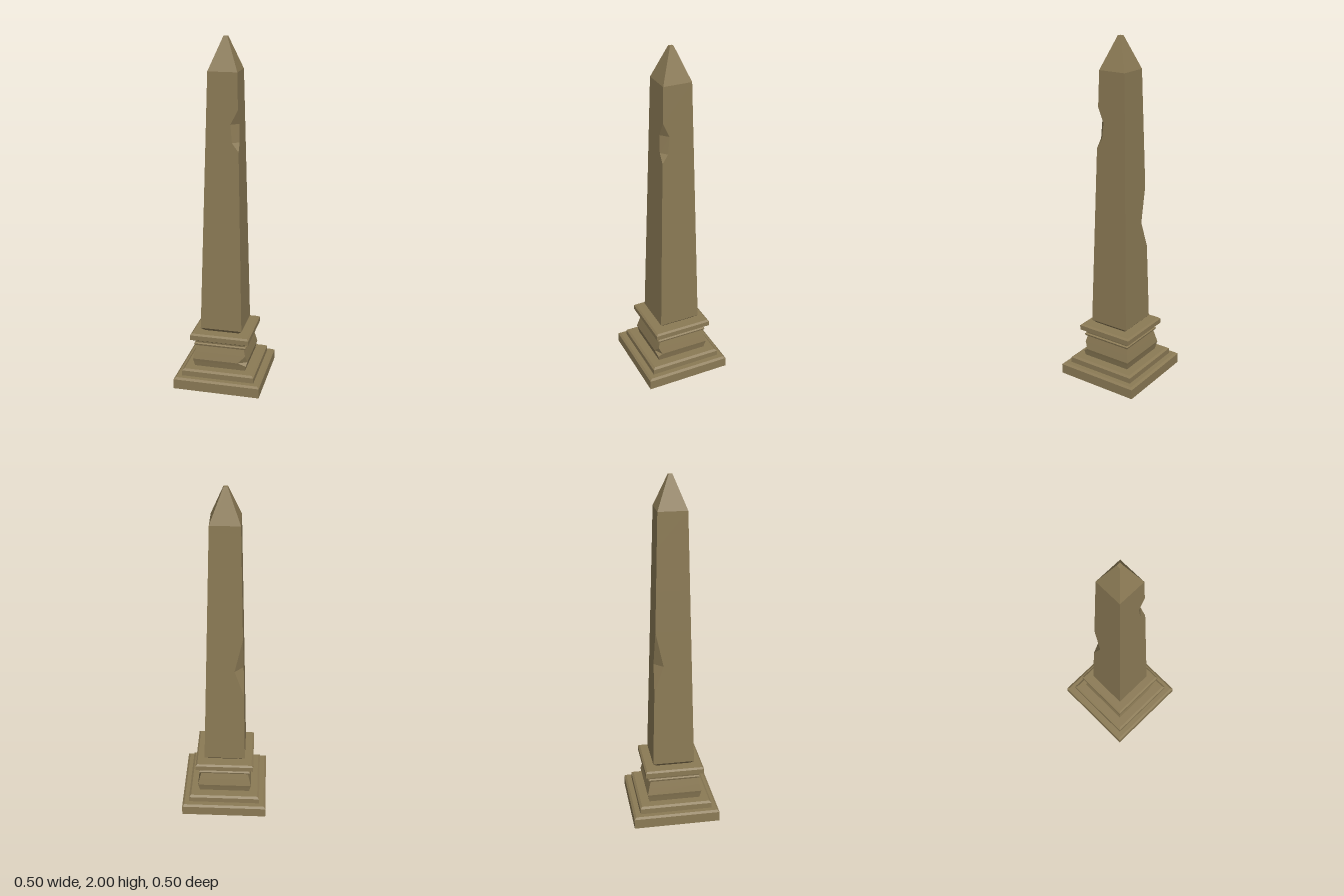
import * as THREE from 'three';

const stone = new THREE.MeshStandardMaterial({ color: 0x8b7a55, flatShading: true, side: THREE.DoubleSide });

// Corners in counter-clockwise order from above: [sign x, sign z, key]
const CORNERS = [[-1, 1, 'frontRight'], [1, 1, 'frontLeft'], [1, -1, 'backLeft'], [-1, -1, 'backRight']];

// Square outline of half width h at height y; chips cut a corner back by [x, z]
function outline([y, h, chips = {}]) {
  const points = [];
  for (const [sx, sz, key] of CORNERS) {
    const [cx, cz] = chips[key] ?? [0, 0];
    const pair = [
      new THREE.Vector3(sx * (h - cx), y, sz * h),
      new THREE.Vector3(sx * h, y, sz * (h - cz)),
    ];
    points.push(...(sx * sz < 0 ? pair.reverse() : pair));
  }
  return points;
}

// Joins outlines from bottom to top, leaving out collapsed triangles
function loft(name, levels, capped = false) {
  const rings = levels.map(outline);
  const positions = [];
  const triangle = (a, b, c) => {
    if (new THREE.Triangle(a, b, c).getArea() < 1e-8) return;
    for (const p of [a, b, c]) positions.push(p.x, p.y, p.z);
  };
  for (let r = 0; r < rings.length - 1; r++) {
    const low = rings[r], high = rings[r + 1];
    for (let i = 0; i < 8; i++) {
      const j = (i + 1) % 8;
      triangle(low[i], low[j], high[j]);
      triangle(low[i], high[j], high[i]);
    }
  }
  if (capped) {
    const top = rings.at(-1);
    for (let i = 1; i < 7; i++) triangle(top[0], top[i], top[i + 1]);
  }
  const geometry = new THREE.BufferGeometry();
  geometry.setAttribute('position', new THREE.Float32BufferAttribute(positions, 3));
  geometry.computeVertexNormals();
  const mesh = new THREE.Mesh(geometry, stone);
  mesh.name = name;
  return mesh;
}

export function createModel() {
  const group = new THREE.Group();
  group.name = 'obelisk';

  // Two stepped slabs, hollow and open underneath
  group.add(loft('plinth', [[0, 0.252], [0.058, 0.252], [0.068, 0.24], [0.068, 0.212]]));
  group.add(loft('step', [[0.068, 0.212], [0.1, 0.212], [0.11, 0.2], [0.11, 0.15]]));

  // Pedestal block with a broken front corner
  group.add(loft('pedestal', [
    [0.11, 0.15],
    [0.14, 0.156],
    [0.157, 0.16, { frontLeft: [0.053, 0.03] }],
    [0.2, 0.15],
    [0.24, 0.14],
  ]));

  // Thin mouldings under the cornice
  group.add(loft('mouldings', [
    [0.24, 0.14], [0.242, 0.15], [0.252, 0.153], [0.258, 0.145], [0.268, 0.147], [0.273, 0.157],
  ]));
  group.add(loft('cornice', [
    [0.273, 0.157], [0.282, 0.172], [0.31, 0.172], [0.319, 0.162], [0.319, 0.1],
  ]));

  // Tapering shaft with two chipped edges
  const half = (y) => 0.121 - ((y - 0.34) / 1.48) * 0.039;
  const level = (y, chips) => [y, half(y), chips];
  group.add(loft('shaft', [
    [0.319, 0.1],
    level(0.34),
    level(0.79),
    level(0.95, { backRight: [0.05, 0.05] }),
    level(1.155),
    level(1.39),
    level(1.44, { frontLeft: [0.036, 0.032] }),
    level(1.54, { frontLeft: [0.043, 0.039] }),
    level(1.62),
    level(1.82),
  ]));

  // Pyramid tip with a small flat top
  group.add(loft('capstone', [[1.82, 0.082], [2, 0.011]], true));

  return group;
}
